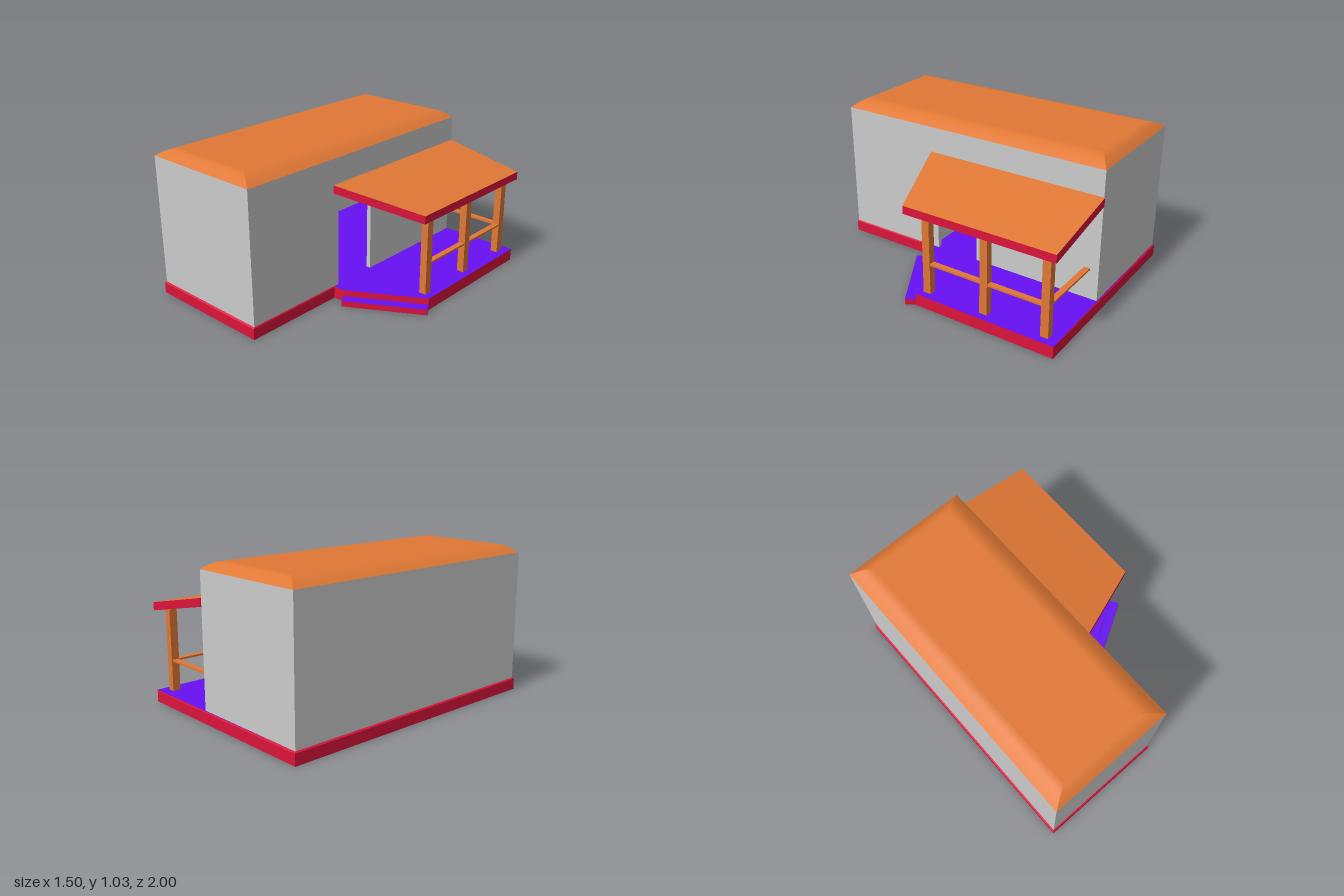
import * as THREE from 'three';

const mat = (color) => new THREE.MeshStandardMaterial({ color, side: THREE.DoubleSide });

export function createModel() {
  const model = new THREE.Group();
  const grey = mat(0xcccccc);
  const orange = mat(0xe07835);
  const red = mat(0xdc143c);
  const purple = mat(0x6610f2);

  const add = (name, geometry, material, parent = model) => {
    const mesh = new THREE.Mesh(geometry, material);
    mesh.name = name;
    parent.add(mesh);
    return mesh;
  };
  const group = (name) => {
    const g = new THREE.Group();
    g.name = name;
    model.add(g);
    return g;
  };

  // Box given by its limits on each axis
  const box = (name, [x0, x1], [y0, y1], [z0, z1], material, parent) =>
    add(name, new THREE.BoxGeometry(x1 - x0, y1 - y0, z1 - z0), material, parent)
      .position.set((x0 + x1) / 2, (y0 + y1) / 2, (z0 + z1) / 2);

  const build = (positions, indices) => {
    const g = new THREE.BufferGeometry();
    g.setAttribute('position', new THREE.Float32BufferAttribute(positions, 3));
    g.setIndex(indices);
    return g;
  };

  // Thin polygon over an outline of [x, z] points, at height y(x)
  const sheet = (outline, y) => {
    const contour = outline.map(([x, z]) => new THREE.Vector2(x, -z));
    const g = build(outline.flatMap(([x, z]) => [x, y(x), z]),
      THREE.ShapeUtils.triangulateShape(contour, []).flat());
    g.computeVertexNormals();
    return g;
  };

  // Flat-sided wall joining two closed loops of [x, z] points (anticlockwise from above)
  const band = (lower, yLow, upper, yHigh) => {
    const p = [], idx = [];
    lower.forEach((a, i) => {
      const j = (i + 1) % lower.length, k = i * 4;
      const b = lower[j], c = upper[j], d = upper[i];
      p.push(a[0], yLow(a[0]), a[1], b[0], yLow(b[0]), b[1],
        c[0], yHigh(c[0]), c[1], d[0], yHigh(d[0]), d[1]);
      idx.push(k, k + 1, k + 2, k, k + 2, k + 3);
    });
    const g = build(p, idx);
    g.computeVertexNormals();
    return g;
  };
  const at = (y) => () => y;

  // Base: open skirt, chamfered around the house, with one continuous floor
  const base = group('base');
  const outer = [[-0.75, 1], [0.145, 1], [0.145, 0.285], [0.225, 0.285], [0.71, 0], [0.71, -1], [-0.75, -1]];
  const inner = [[-0.74, 0.99], [0.14, 0.99], [0.14, 0.285], [0.225, 0.285], [0.71, 0], [0.71, -1], [-0.74, -0.99]];
  add('baseSkirt', band(outer, at(0), outer, at(0.075)), red, base);
  add('baseChamfer', band(outer, at(0.075), inner, at(0.083)), red, base);
  add('floor', sheet(inner, at(0.083)), purple, base);

  // Entrance step, along the slanted edge of the deck
  const step = group('entranceStep');
  const stepOutline = [[0.225, 0.283], [0.26, 0.343], [0.745, 0.06], [0.71, 0]];
  add('stepSides', band(stepOutline, at(0), stepOutline, at(0.04)), red, step);
  add('stepTread', sheet(stepOutline, at(0.04)), purple, step);

  // House walls, with a doorway on the porch side
  const walls = group('houseWalls');
  const T = 0.03, H = [0.075, 0.975];
  box('rightWall', [-0.74, -0.74 + T], H, [-0.99, 0.99], grey, walls);
  box('frontWall', [-0.74 + T, 0.14 - T], H, [0.99 - T, 0.99], grey, walls);
  box('backWall', [-0.74 + T, 0.14 - T], H, [-0.99, -0.99 + T], grey, walls);
  box('leftWallBack', [0.14 - T, 0.14], H, [-0.99, -0.08], grey, walls);
  box('leftWallFront', [0.14 - T, 0.14], H, [0.24, 0.99], grey, walls);
  box('doorLintel', [0.14 - T, 0.14], [0.67, 0.975], [-0.08, 0.24], grey, walls);
  box('partition', [-0.47, 0.14 - T], H, [0.29, 0.31], grey, walls);
  box('partitionReturn', [-0.47, -0.45], H, [0.31, 0.41], grey, walls);

  // House roof: four smoothly curved sides around a flat top
  const roof = group('houseRoof');
  const loop = (u) => {
    const x0 = -0.74 + 0.13 * u, x1 = 0.14 - 0.13 * u, z = 0.99 - 0.09 * u;
    return [[x0, z], [x1, z], [x1, -z], [x0, -z]];
  };
  const steps = 8;
  for (let side = 0; side < 4; side++) {
    const p = [], idx = [];
    for (let i = 0; i <= steps; i++) {
      const u = i / steps, y = 0.975 + 0.055 * Math.sin(u * Math.PI / 2);
      const a = loop(u)[side], b = loop(u)[(side + 1) % 4];
      p.push(a[0], y, a[1], b[0], y, b[1]);
      const k = i * 2;
      if (i < steps) idx.push(k, k + 1, k + 3, k, k + 3, k + 2);
    }
    const g = build(p, idx);
    g.computeVertexNormals();
    add('roofCurve', g, orange, roof);
  }
  add('roofTop', sheet(loop(1), at(1.03)), orange, roof);
  add('ceiling', sheet(loop(0), at(0.974)), red, roof);

  // Porch roof: sloping slab with a slanted front edge
  const porchRoof = group('porchRoof');
  const eaves = [[0.14, 0.285], [0.71, 0.075], [0.71, -0.995], [0.14, -0.995]];
  const slope = (x) => 0.8 - 0.115 * (x - 0.14) / 0.57;
  const under = (x) => slope(x) - 0.055;
  add('porchFascia', band(eaves, under, eaves, slope), red, porchRoof);
  add('porchRoofTop', sheet(eaves, slope), orange, porchRoof);
  add('porchCeiling', sheet(eaves, under), red, porchRoof);

  // Porch posts and handrails
  const porch = group('porchFrame');
  const postZ = [-0.055, -0.483, -0.91];
  for (const z of postZ) box('post', [0.61, 0.66], [0.083, 0.643], [z - 0.027, z + 0.027], orange, porch);
  for (let i = 0; i < 2; i++) {
    box('sideRail', [0.615, 0.655], [0.287, 0.3], [postZ[i + 1] + 0.027, postZ[i] - 0.027], orange, porch);
  }
  box('backRail', [0.14, 0.61], [0.287, 0.3], [-0.93, -0.89], orange, porch);

  return model;
}
